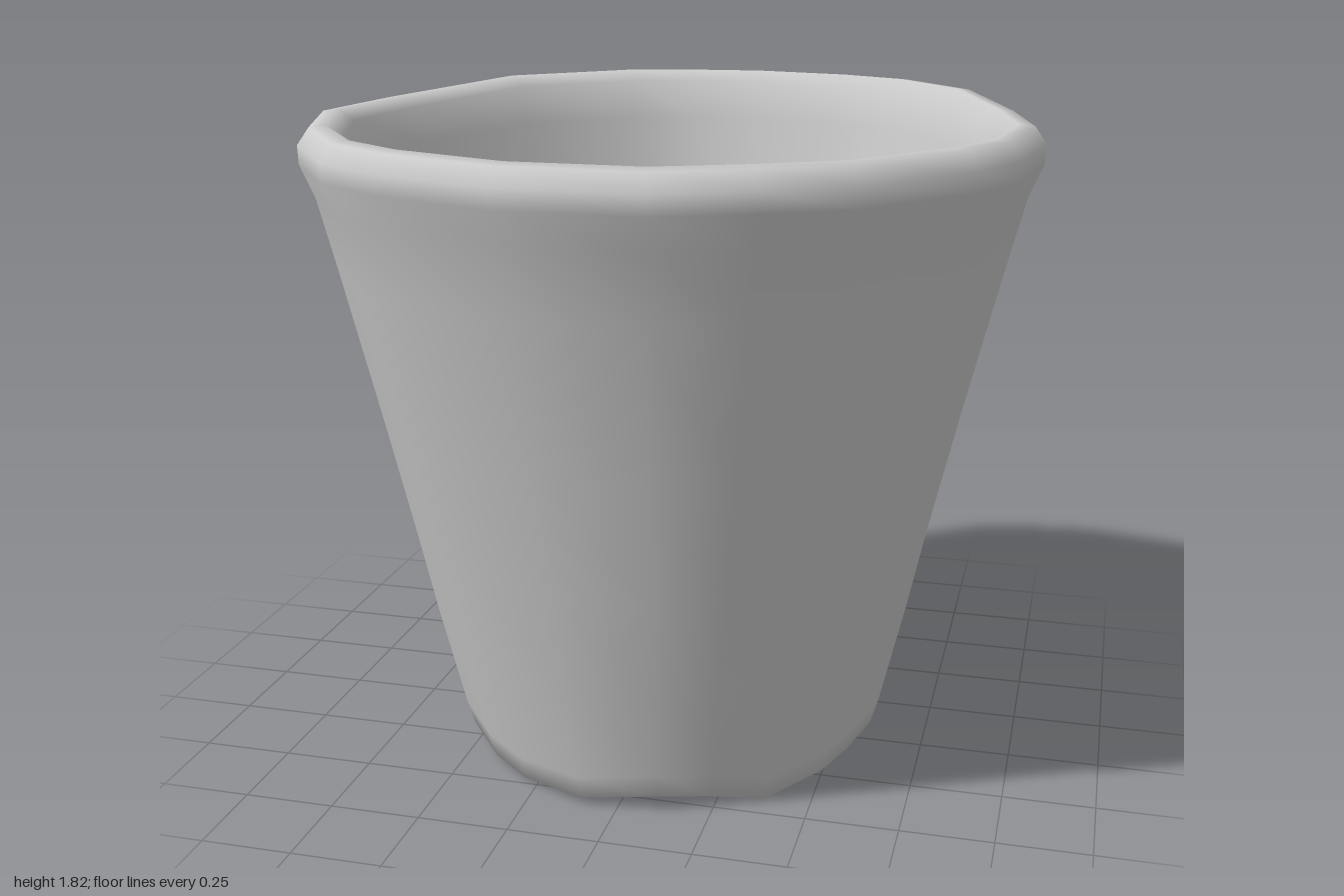
import * as THREE from 'three';

// Hand-shaped outline of the rim seen from above: [x, z], starting at the back, going towards +x
const RIM = [
  [0.07, -0.97], [0.37, -0.91], [0.56, -0.82], [0.77, -0.64], [0.92, -0.38], [1, -0.05], [0.96, 0.27],
  [0.87, 0.46], [0.64, 0.75], [0.42, 0.87], [0.19, 0.97], [-0.17, 0.97], [-0.5, 0.85], [-0.69, 0.72],
  [-0.88, 0.45], [-1, 0.1], [-0.95, -0.27], [-0.7, -0.66], [-0.36, -0.9], [-0.15, -0.95],
];

// Rings from under the base, up the outside, over the lip and down the inside: [scale, y, fold amount]
const PROFILE = [
  [0.01, 0.05, 0], [0.35, 0.045, 0], [0.53, 0.025, 1], [0.585, 0.03, 1], [0.605, 0.1, 1], [0.675, 0.4, 0.6],
  [0.735, 0.66, 0.2], [0.815, 1.0, 0], [0.915, 1.42, 0], [0.96, 1.6, 0], [0.998, 1.69, 0], [1, 1.74, 0],
  [0.968, 1.785, 0], [0.925, 1.79, 0], [0.88, 1.76, 0], [0.85, 1.66, 0], [0.82, 1.5, 0], [0.7, 0.95, 0],
  [0.56, 0.4, 0], [0.51, 0.24, 0], [0.46, 0.18, 0], [0.3, 0.165, 0],
];

const HOLE = { x: 0.01, z: -0.02, r: 0.125, top: 0.165, bottom: 0.09 };

// Radius of a five-sided polygon in the direction a
function pentagonRadius(a) {
  const step = (Math.PI * 2) / 5;
  const local = (((a - 0.05) % step) + step) % step;
  return (HOLE.r * Math.cos(step / 2)) / Math.cos(local - step / 2);
}

function ringPoint([scale, y, fold], [px, pz]) {
  const a = Math.atan2(pz, px);
  // soft folds and an uneven lower edge near the base
  const s = scale * (1 + fold * (0.014 * Math.cos(7 * a + 0.6) + 0.008 * Math.cos(4 * a)));
  const x = px * s;
  const z = pz * s - 0.015 * (1 - scale);
  const wave = y < 0.2 ? fold * 0.02 * Math.sin(5 * a + 1) : 0;
  // the lip rises slightly at the back
  const lift = 0.035 * THREE.MathUtils.smoothstep(y, 1.5, 1.78) * THREE.MathUtils.smoothstep(-pz, 0.35, 0.75);
  return [x, y + wave + lift, z];
}

function skin(rings) {
  const n = rings[0].length;
  const index = [];
  for (let i = 0; i < rings.length - 1; i++) {
    for (let j = 0; j < n; j++) {
      const k = (j + 1) % n;
      const a = i * n + j, b = i * n + k, c = a + n, d = b + n;
      index.push(a, c, d, a, d, b);
    }
  }
  const geometry = new THREE.BufferGeometry();
  geometry.setAttribute('position', new THREE.Float32BufferAttribute(rings.flat(2), 3));
  geometry.setIndex(index);
  geometry.computeVertexNormals();
  return geometry;
}

export function createModel() {
  const model = new THREE.Group();
  model.name = 'flowerPot';
  const material = new THREE.MeshStandardMaterial({ color: 0xcccccc, side: THREE.DoubleSide });

  // Pot body: base, tapered wall, rounded lip, inside wall and floor up to the drain recess
  const rings = PROFILE.map((p) => RIM.map((q) => ringPoint(p, q)));
  rings.push(RIM.map(([px, pz]) => {
    const a = Math.atan2(pz, px);
    const r = pentagonRadius(a);
    return [HOLE.x + r * Math.cos(a), HOLE.top, HOLE.z + r * Math.sin(a)];
  }));
  const body = new THREE.Mesh(skin(rings), material);
  body.name = 'potBody';
  model.add(body);

  // Five-sided drain recess in the floor
  const depth = HOLE.top - HOLE.bottom;
  const wall = new THREE.Mesh(new THREE.CylinderGeometry(HOLE.r, HOLE.r, depth, 5, 1, true), material);
  wall.name = 'drainWall';
  wall.rotation.y = Math.PI / 2 - 0.05;
  wall.position.set(HOLE.x, HOLE.bottom + depth / 2, HOLE.z);
  const floor = new THREE.Mesh(new THREE.CircleGeometry(HOLE.r, 5), material);
  floor.name = 'drainFloor';
  floor.rotation.set(-Math.PI / 2, 0, -0.05);
  floor.position.set(HOLE.x, HOLE.bottom, HOLE.z);
  model.add(wall, floor);

  return model;
}
